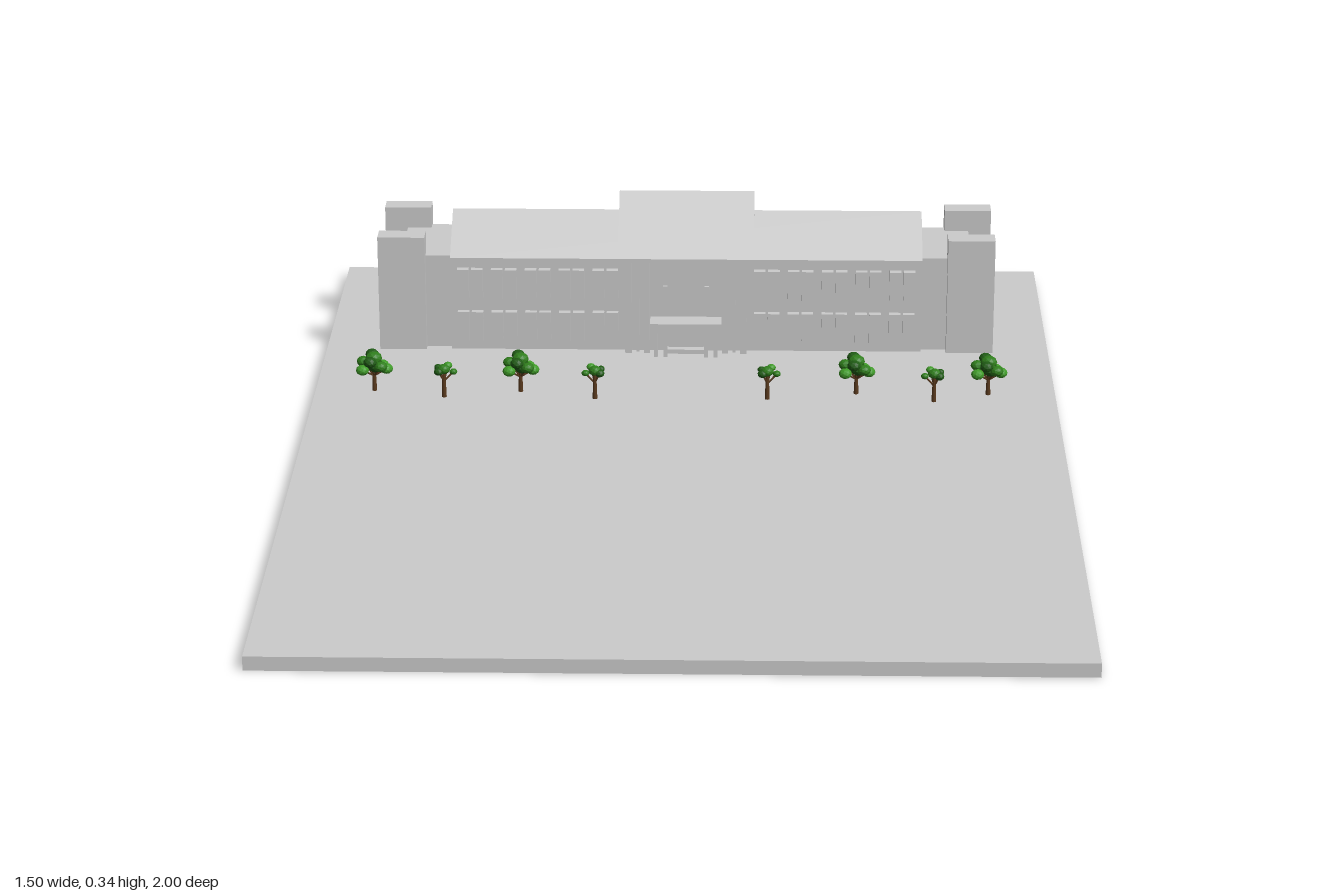
import * as THREE from 'three';

const GREY = new THREE.MeshStandardMaterial({ color: 0xcccccc });
const TRUNK = new THREE.MeshStandardMaterial({ color: 0x5a3a1e });
const GREENS = [0x2f7d1c, 0x1f5a14, 0x3f9a28].map(
  (color) => new THREE.MeshStandardMaterial({ color, flatShading: true }));

const GROUND = 0.027; // top of the site slab
const FRONT = -0.507, BACK = -0.73, RIDGE = -0.616;

// Box given by its limits on each axis
function box(parent, name, x0, x1, y0, y1, z0, z1) {
  const mesh = new THREE.Mesh(new THREE.BoxGeometry(x1 - x0, y1 - y0, z1 - z0), GREY);
  mesh.position.set((x0 + x1) / 2, (y0 + y1) / 2, (z0 + z1) / 2);
  mesh.name = name;
  parent.add(mesh);
  return mesh;
}

// Gabled roof with its ridge along x
function gable(parent, name, halfLength, eave, lip, peak, zBack, zFront) {
  const shape = new THREE.Shape();
  shape.moveTo(-zFront, eave);
  shape.lineTo(-zBack, eave);
  shape.lineTo(-zBack, eave + lip);
  shape.lineTo(-RIDGE, peak);
  shape.lineTo(-zFront, eave + lip);
  shape.closePath();
  const geo = new THREE.ExtrudeGeometry(shape, { depth: 2 * halfLength, bevelEnabled: false });
  geo.translate(0, 0, -halfLength).rotateY(Math.PI / 2);
  const mesh = new THREE.Mesh(geo, GREY);
  mesh.name = name;
  parent.add(mesh);
}

// Flat canopy carried on posts along its outer edge
function canopy(parent, name, x0, x1, top, zWall, zOuter, postXs) {
  const group = new THREE.Group();
  group.name = name;
  box(group, 'canopySlab', x0, x1, top - 0.009, top, Math.min(zWall, zOuter), Math.max(zWall, zOuter));
  const zPost = zOuter + Math.sign(zWall - zOuter) * 0.01;
  for (const x of postXs) {
    box(group, 'canopyPost', x - 0.004, x + 0.004, GROUND, top - 0.009, zPost - 0.004, zPost + 0.004);
  }
  parent.add(group);
}

// Two storeys of paired projecting windows on both long faces
function addWindows(parent) {
  const group = new THREE.Group();
  group.name = 'windows';
  for (const side of [-1, 1]) {
    for (let pair = 0; pair < 5; pair++) {
      for (const off of [-0.0145, 0.0145]) {
        const x = side * (0.167 + pair * 0.07) + off;
        for (const [y0, y1] of [[0.05, 0.113], [0.142, 0.206]]) {
          box(group, 'frontWindow', x - 0.012, x + 0.012, y0, y1, FRONT, FRONT + 0.014);
          box(group, 'backWindow', x - 0.012, x + 0.012, y0, y1, BACK - 0.014, BACK);
        }
      }
    }
  }
  parent.add(group);
}

// Entrance block: piers, recessed bay and canopies
function addCentre(parent) {
  const group = new THREE.Group();
  group.name = 'entranceBlock';
  box(group, 'entranceWalls', -0.126, 0.126, GROUND, 0.235, BACK - 0.002, FRONT + 0.002);
  for (const s of [-1, 1]) {
    for (const [x, w] of [[0.119, 0.014], [0.081, 0.012], [0.1, 0.006]]) {
      const depth = w > 0.01 ? 0.02 : 0.012;
      box(group, 'frontPier', s * x - w / 2, s * x + w / 2, GROUND, 0.235, FRONT, FRONT + depth);
      box(group, 'backPier', s * x - w / 2, s * x + w / 2, GROUND, 0.235, BACK - depth, BACK);
    }
    box(group, 'slitWindow', s * 0.043 - 0.005, s * 0.043 + 0.005, 0.113, 0.17, FRONT, FRONT + 0.008);
    box(group, 'backSlitWindow', s * 0.043 - 0.005, s * 0.043 + 0.005, 0.113, 0.17, BACK - 0.008, BACK);
  }
  box(group, 'entranceDoor', -0.036, 0.036, GROUND, 0.078, FRONT, FRONT + 0.006);
  box(group, 'entranceStep', -0.045, 0.045, GROUND, 0.036, FRONT, FRONT + 0.022);
  canopy(group, 'frontCanopy', -0.074, 0.074, 0.102, FRONT, -0.459, [-0.062, -0.042, 0.042, 0.062]);
  canopy(group, 'backCanopy', -0.042, 0.042, 0.09, BACK, -0.768, [-0.035, 0.035]);
  gable(group, 'entranceRoof', 0.14, 0.23, 0.008, 0.34, -0.758, -0.477);
  parent.add(group);
}

// End wing with tall towers at its front and back corners
function addEnd(parent, s) {
  const group = new THREE.Group();
  group.name = s > 0 ? 'leftEnd' : 'rightEnd';
  const span = (name, a, b, ...rest) =>
    box(group, name, Math.min(s * a, s * b), Math.max(s * a, s * b), ...rest);
  span('endWalls', 0.48, 0.59, GROUND, 0.228, -0.715, -0.52);
  span('frontTower', 0.54, 0.637, GROUND, 0.273, -0.544, -0.501);
  span('backTower', 0.54, 0.637, GROUND, 0.273, -0.734, -0.692);
  const xs = [s * 0.53, s * 0.6].sort((a, b) => a - b);
  canopy(group, 'sideDoorCanopy', xs[0], xs[1], 0.09, -0.73, -0.779, [xs[0] + 0.008, xs[1] - 0.008]);
  span('sideDoor', 0.55, 0.585, GROUND, 0.078, -0.738, -0.73);
  parent.add(group);
}

// Tree with a tapered trunk and a crown of leaf clumps [x, y, z, radius]
function addTree(parent, name, x, z, clumps, crownBase) {
  const tree = new THREE.Group();
  tree.name = name;
  const height = crownBase - GROUND;
  const trunk = new THREE.Mesh(new THREE.CylinderGeometry(0.003, 0.005, height, 7), TRUNK);
  trunk.position.y = height / 2;
  trunk.name = 'trunk';
  tree.add(trunk);
  clumps.forEach(([cx, cy, cz, r], i) => {
    const clump = new THREE.Mesh(new THREE.IcosahedronGeometry(r, 1), GREENS[i % 3]);
    clump.position.set(cx, cy - GROUND, cz);
    clump.scale.y = 0.8;
    clump.rotation.y = i * 1.3;
    clump.name = 'leafClump';
    tree.add(clump);
    // branch from the trunk top to the clump
    const path = new THREE.LineCurve3(new THREE.Vector3(0, height * 0.6, 0), clump.position.clone());
    const branch = new THREE.Mesh(new THREE.TubeGeometry(path, 1, 0.002, 5), TRUNK);
    branch.name = 'branch';
    tree.add(branch);
  });
  tree.position.set(x, GROUND, z);
  parent.add(tree);
}

function addTrees(parent) {
  const large = [[0, 0.097, 0, 0.017], [0.004, 0.082, 0.004, 0.017]];
  for (let i = 0; i < 7; i++) {
    const a = (i / 7) * Math.PI * 2;
    large.push([Math.cos(a) * 0.025, 0.08 + 0.011 * (i % 3 - 0.5), Math.sin(a) * 0.025, 0.0135]);
  }
  const small = [[0, 0.087, 0, 0.013], [-0.01, 0.083, 0.005, 0.01], [0.008, 0.092, -0.008, 0.009],
    [0.019, 0.08, -0.004, 0.008], [-0.012, 0.088, -0.007, 0.008]];
  for (const x of [-0.63, -0.333, 0.347, 0.614]) addTree(parent, 'largeTree', x, -0.268, large, 0.08);
  for (const [x, z, flip] of [[-0.486, -0.235, 1], [-0.181, -0.232, -1], [0.167, -0.235, 1], [0.503, -0.228, -1]]) {
    addTree(parent, 'smallTree', x, z, small.map(([a, b, c, r]) => [a * flip, b, c, r]), 0.083);
  }
}

export function createModel() {
  const model = new THREE.Group();
  model.name = 'buildingSite';
  box(model, 'groundSlab', -0.75, 0.75, 0, GROUND, -1, 1);

  const building = new THREE.Group();
  building.name = 'building';
  building.position.x = -0.002;
  box(building, 'mainWalls', -0.488, 0.488, GROUND, 0.228, BACK, FRONT);
  gable(building, 'mainRoof', 0.488, 0.225, 0.003, 0.298, -0.733, -0.505);
  addWindows(building);
  addCentre(building);
  for (const s of [-1, 1]) addEnd(building, s);
  model.add(building);

  addTrees(model);
  return model;
}
